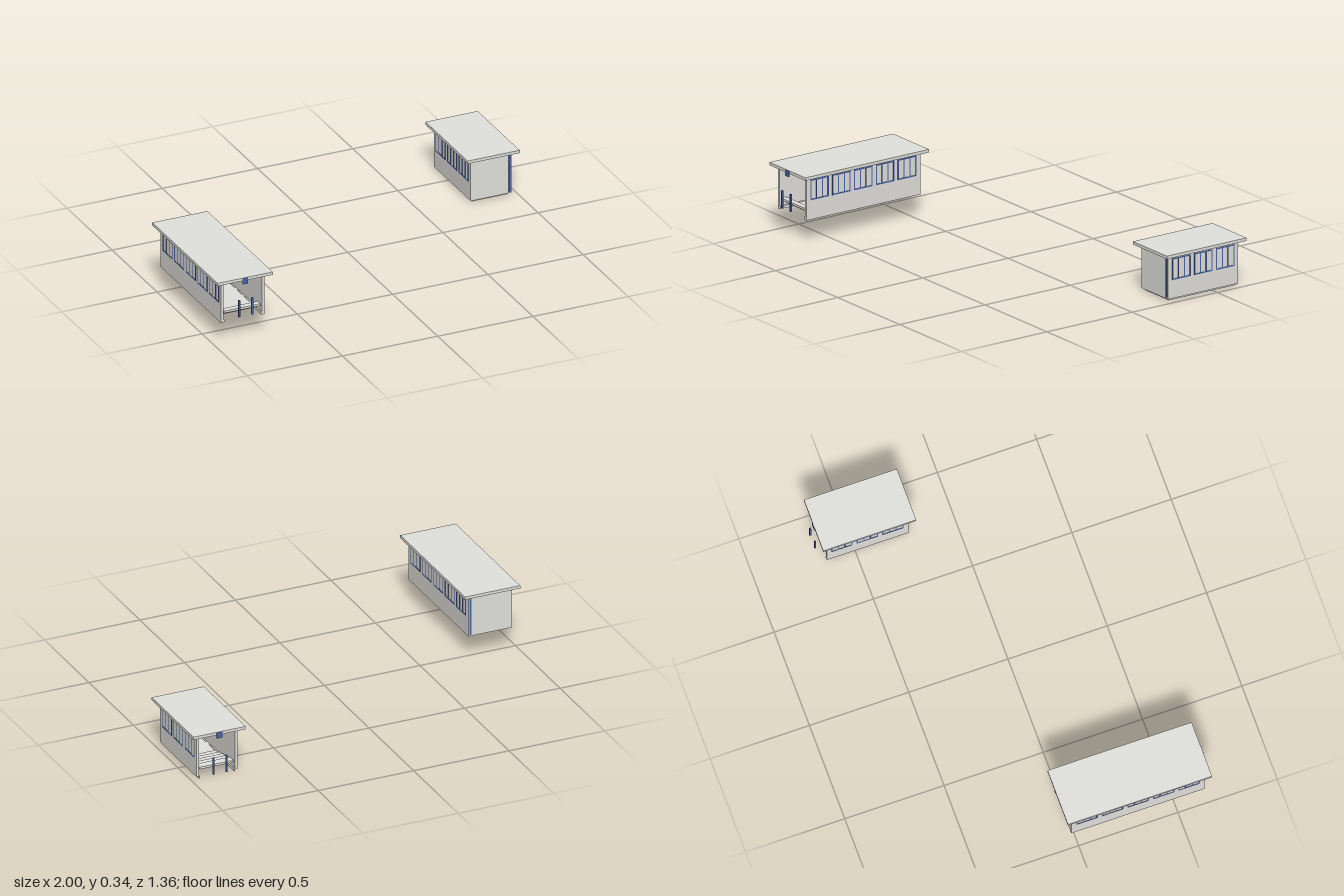
import * as THREE from 'three';

const flat = (name, color) => {
  const m = new THREE.MeshStandardMaterial({ color });
  m.name = name;
  return m;
};

export function createModel() {
  const concrete = flat('pale concrete', 0xe2e1dd);
  const blue = flat('blue metal', 0x4866ac);

  // Box given by its minimum and maximum corners
  function box(parent, name, mat, x0, x1, y0, y1, z0, z1) {
    const mesh = new THREE.Mesh(new THREE.BoxGeometry(x1 - x0, y1 - y0, z1 - z0), mat);
    mesh.position.set((x0 + x1) / 2, (y0 + y1) / 2, (z0 + z1) / 2);
    mesh.name = name;
    parent.add(mesh);
  }

  // Framed window with two mullions on the side wall at x = side * w
  function windowFrame(parent, side, w, z, y0, y1, width) {
    const frame = new THREE.Group();
    frame.name = 'windowFrame';
    const xs = [side * (w - 0.002), side * (w + 0.0015)].sort((a, b) => a - b);
    const b = 0.003;
    for (let i = 0; i < 4; i++) {
      const c = z - width / 2 + b + (i / 3) * (width - 2 * b);
      const t = i % 3 === 0 ? b : 0.0025;
      box(frame, 'windowBar', blue, ...xs, y0 + 2 * b, y1 - 2 * b, c - t, c + t);
    }
    for (const y of [y0, y1 - 2 * b])
      box(frame, 'windowRail', blue, ...xs, y, y + 2 * b, z - width / 2, z + width / 2);
    parent.add(frame);
  }

  // Entrance pavilion, open towards its local +z
  function pavilion(name, o) {
    const g = new THREE.Group();
    g.name = name;
    const { w, len, h, roofW, roofL, wallT = 0.012 } = o;
    const l = len / 2;
    const iw = w - wallT;

    box(g, 'roof', concrete, -roofW, roofW, h, h + 0.015, -roofL, roofL);
    box(g, 'backWall', concrete, -w, w, 0, h, -l, -l + wallT);
    for (const s of [-1, 1]) {
      const xs = s < 0 ? [-w, -iw] : [iw, w];
      box(g, 'sideWall', concrete, ...xs, 0, h, -l + wallT, l);
      for (let i = 0; i < o.windows; i++) {
        const z = l - 0.077 - i * 0.1283 + o.windowShift;
        windowFrame(g, s, w, z, o.sill, o.head, 0.108);
      }
      // Stringer carrying the floor and the steps
      const ss = s < 0 ? [-iw, -iw + 0.006] : [iw - 0.006, iw];
      box(g, 'stringer', concrete, ...ss, o.floorY, o.floorY + 0.014, -l + wallT, l);
      // Free-standing entrance posts
      box(g, 'entrancePost', blue, s * 0.034 - 0.004, s * 0.034 + 0.004,
        o.postY, o.postY + 0.088, roofL + 0.001, roofL + 0.009);
    }

    // Floor and steps leading down from the entrance
    const fw = iw - 0.006;
    const stairEnd = l - 0.005, stairStart = stairEnd - o.steps * o.tread;
    box(g, 'floor', concrete, -fw, fw, o.floorY, o.floorY + 0.012, -l + wallT, stairStart);
    for (let i = 0; i < o.steps; i++) {
      const y = o.floorY + 0.008 + (i * 0.036) / (o.steps - 1);
      const z = stairStart + i * o.tread;
      box(g, 'step', concrete, -fw, fw, y, y + 0.011, z, z + o.tread);
    }

    // Small sign on the roof edge, and a corner downpipe
    box(g, 'sign', blue, -0.015, 0.015, h - 0.017, h + 0.013, roofL, roofL + 0.002);
    const c = o.pipeSide * (w - 0.01);
    box(g, 'downpipe', blue, c - 0.005, c + 0.005, 0.008, h, -l - 0.005, -l);
    return g;
  }

  const model = new THREE.Group();
  model.name = 'stationEntrances';

  const large = pavilion('longEntrance', {
    w: 0.114, len: 0.67, h: 0.213, roofW: 0.145, roofL: 0.363, windows: 5, windowShift: 0,
    sill: 0.097, head: 0.199, postY: 0.03, floorY: 0.001, steps: 3, tread: 0.03, pipeSide: 1,
  });
  large.position.set(-0.855, 0.115, 0.309);
  model.add(large);

  const small = pavilion('shortEntrance', {
    w: 0.107, len: 0.41, h: 0.215, roofW: 0.137, roofL: 0.234, windows: 3, windowShift: 0.002,
    sill: 0.092, head: 0.2, postY: 0.014, floorY: -0.01, steps: 5, tread: 0.04, pipeSide: -1,
  });
  small.position.set(0.863, 0.01, -0.438);
  small.rotation.y = Math.PI;
  model.add(small);
  return model;
}
